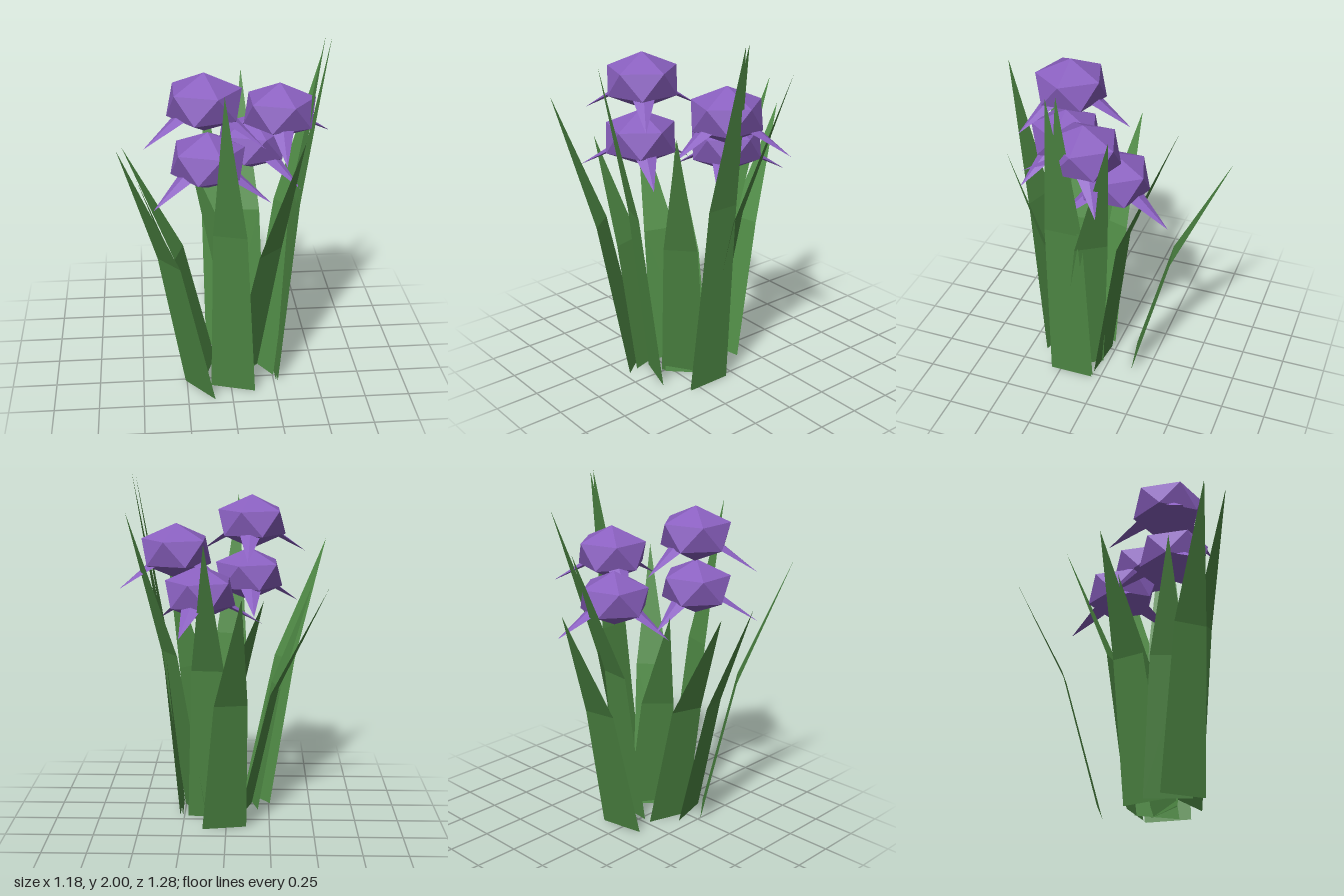
import * as THREE from 'three';

const leafMat = new THREE.MeshStandardMaterial({ color: 0x4f8a45, flatShading: true, side: THREE.DoubleSide });
const petalMat = new THREE.MeshStandardMaterial({ color: 0x8a60c0, flatShading: true });

// Blade leaf: a tapering strip from the ground to a bend, then a pointed tip.
// w is the heading of the blade's width in the ground plane.
function leaf([bx, bz], [tx, ty, tz], w, k = 0.4) {
  const c = Math.cos(w), s = Math.sin(w);
  const row = (x, y, z, half) => [
    [x - c * half, y, z - s * half],
    [x + c * half, y, z + s * half],
  ];
  const [a, b] = row(bx, 0, bz, 0.128);
  const [d, e] = row(bx + (tx - bx) * k, ty * 0.55, bz + (tz - bz) * k, 0.093);
  const tip = [tx, ty, tz];
  const geo = new THREE.BufferGeometry();
  geo.setAttribute('position', new THREE.Float32BufferAttribute(
    [a, b, e, a, e, d, d, e, tip].flat(), 3));
  geo.computeVertexNormals();
  const mesh = new THREE.Mesh(geo, leafMat);
  mesh.name = 'leaf';
  return mesh;
}

// Squashed 20-sided bloom, one corner pointing up
const bloomGeo = new THREE.IcosahedronGeometry(0.218, 0)
  .rotateZ(-Math.atan(2 / (1 + Math.sqrt(5))))
  .scale(1, 0.715, 1);

// Flattened four-sided spike, apex at the origin, body running towards -z
const spikeGeo = new THREE.ConeGeometry(0.08, 0.33, 4)
  .translate(0, -0.165, 0)
  .rotateX(Math.PI / 2)
  .scale(1, 0.3, 1);

// Flower head: bloom with three drooping petals around it
function flower(x, y, z, heading) {
  const group = new THREE.Group();
  group.name = 'flower';
  const bloom = new THREE.Mesh(bloomGeo, petalMat);
  bloom.name = 'bloom';
  group.add(bloom);
  for (let i = 0; i < 3; i++) {
    const a = heading + i * Math.PI * 2 / 3;
    const petal = new THREE.Mesh(spikeGeo, petalMat);
    petal.name = 'petal';
    petal.position.set(Math.sin(a) * 0.355, -0.19, Math.cos(a) * 0.355);
    petal.rotation.set(0.54, a, 0, 'YXZ');
    group.add(petal);
  }
  group.position.set(x, y, z);
  return group;
}

export function createModel() {
  const model = new THREE.Group();
  model.name = 'floweringPlant';

  // Leaves: base centre, tip, width heading, share of the lean reached at the bend
  const leaves = [
    [[0.01, -0.13], [-0.09, 1.43, -0.64], -0.18],
    [[-0.11, 0.145], [-0.575, 1.37, 0.035], 1.87, 0.36],
    [[-0.178, 0.365], [-0.59, 1.58, 0.61], 0.9],
    [[0.01, 0.36], [-0.06, 1.85, 0.637], 0.3],
    [[-0.15, 0.28], [-0.5, 1.33, 0.39], 1.3],
    [[0.08, 0.21], [0.37, 1.54, 0.47], -0.75, 0.47],
    [[0.185, 0.14], [0.54, 1.81, -0.16], 1.0],
    [[0.275, 0.18], [0.535, 2.0, 0.165], 1.57],
    [[0.262, 0.178], [0.51, 2.0, 0.12], 1.55],
    [[0.1, 0.04], [0.113, 1.67, -0.388], 0.1, 0.3],
    [[0.1, 0.2], [-0.21, 1.3, 0.03], -0.8],
  ];
  for (const l of leaves) model.add(leaf(...l));

  // Flower heads: two pairs
  model.add(
    flower(-0.14, 1.715, 0.305, 3.08),
    flower(-0.125, 1.405, 0.335, -3.06),
    flower(0.283, 1.575, 0.07, 0),
    flower(0.145, 1.357, -0.047, 2.85),
  );
  return model;
}
